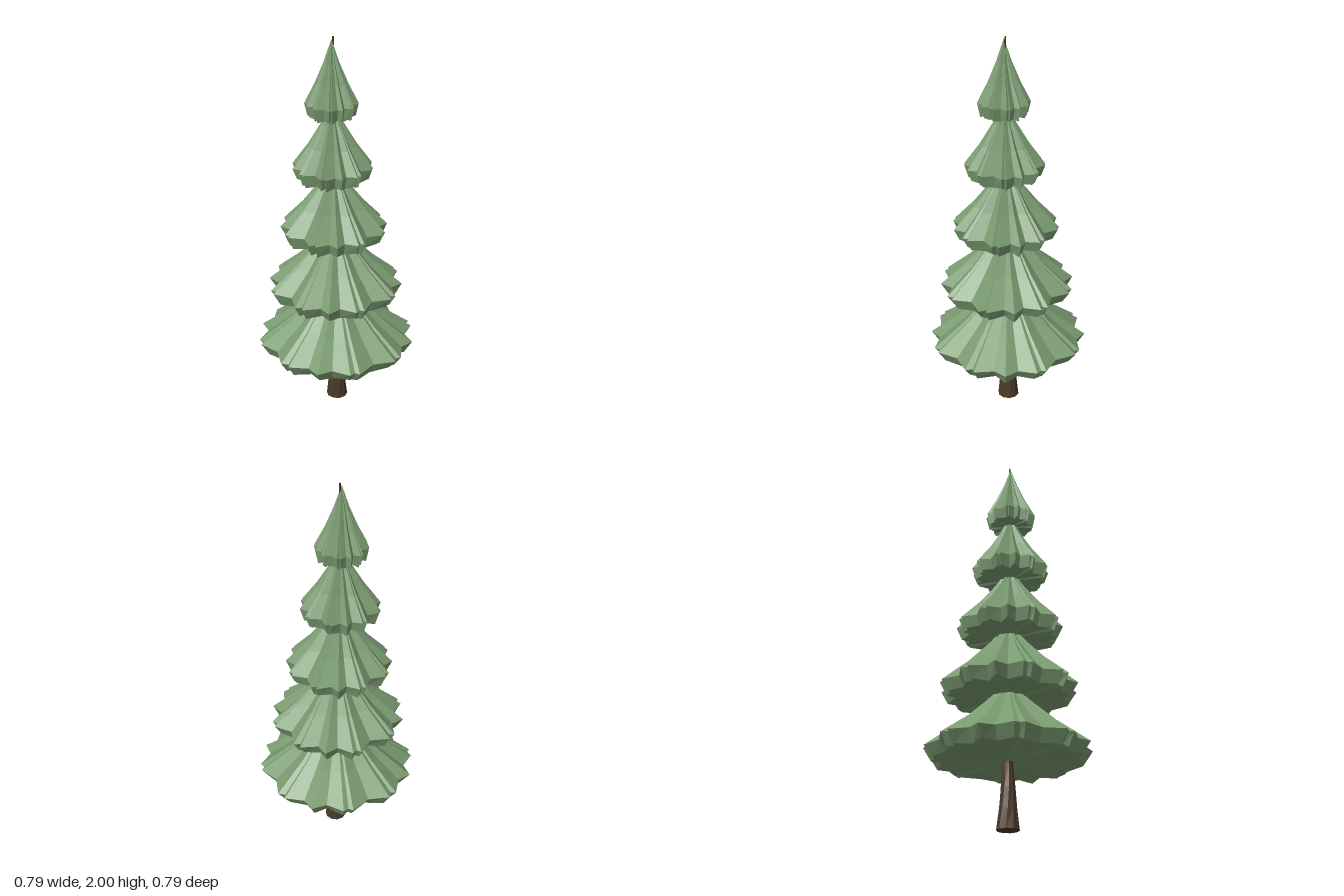
import * as THREE from 'three';

// Skirt outline for one quadrant: [angle in degrees, radius factor]
const PLEATS = [
  [0, 0.875], [15, 1], [19.5, 0.95], [22, 1], [36, 0.9], [45, 1],
  [55, 0.89], [68, 1], [72, 0.96], [75, 1],
];

// Joins closed rings of points, bottom to top, into flat shaded faces
function loft(rings, material, name) {
  const pos = [];
  const tri = (a, b, c) => {
    if (a.distanceTo(b) > 1e-6 && b.distanceTo(c) > 1e-6 && c.distanceTo(a) > 1e-6) {
      for (const p of [a, b, c]) pos.push(p.x, p.y, p.z);
    }
  };
  for (let r = 0; r + 1 < rings.length; r++) {
    const low = rings[r], up = rings[r + 1];
    for (let i = 0; i < low.length; i++) {
      const j = (i + 1) % low.length;
      tri(low[i], low[j], up[j]);
      tri(low[i], up[j], up[i]);
    }
  }
  const geometry = new THREE.BufferGeometry();
  geometry.setAttribute('position', new THREE.Float32BufferAttribute(pos, 3));
  geometry.computeVertexNormals();
  const mesh = new THREE.Mesh(geometry, material);
  mesh.name = name;
  return mesh;
}

// One pleated bough skirt with a drooping hem and flat underside
function makeTier(tier, material, name) {
  const { x, rim, radius, turn, depth, height } = tier;
  // [radius scale, y offset from the rim, hem jag]
  const rows = [
    [0, -0.058, 0], [0.9, -0.06, 0.008], [1, 0, 0],
    [0.61, 0.32 * height, 0], [0.28, 0.65 * height, 0], [0, height, 0],
  ];
  const rings = rows.map(([scale, dy, jag]) => {
    const ring = [];
    for (let q = 0; q < 4; q++) {
      PLEATS.forEach(([deg, f], i) => {
        const a = THREE.MathUtils.degToRad(deg + q * 90 + turn);
        const r = radius * scale * (1 - (1 - f) * depth);
        const y = rim + dy + jag * Math.sin(i * 2.4 + q * 1.7);
        ring.push(new THREE.Vector3(x + r * Math.cos(a), y, -r * Math.sin(a)));
      });
    }
    return ring;
  });
  return loft(rings, material, name);
}

export function createModel() {
  const needles = new THREE.MeshStandardMaterial({ color: 0x799a70, flatShading: true });
  needles.name = 'needle green';
  const bark = new THREE.MeshStandardMaterial({ color: 0x4b3826, flatShading: true });
  bark.name = 'bark brown';

  const tree = new THREE.Group();
  tree.name = 'pineTree';

  // Tapering, twisted trunk running up to the tip: [x, y, radius]
  const sides = 10;
  const spine = [
    [0.005, 0, 0], [0.005, 0, 0.056], [0.003, 0.1, 0.045], [0.004, 0.2, 0.036],
    [0.01, 0.32, 0.027], [0, 0.7, 0.022], [-0.015, 1.3, 0.013],
    [-0.02, 1.9, 0.005], [-0.018, 2, 0.004], [-0.018, 2, 0],
  ];
  const trunkRings = spine.map(([x, y, r]) =>
    Array.from({ length: sides }, (_, i) => {
      const a = (i / sides) * Math.PI * 2 + y * 1.5;
      return new THREE.Vector3(x + r * Math.cos(a), y, -r * Math.sin(a));
    }));
  tree.add(loft(trunkRings, bark, 'trunk'));

  // Five bough tiers, from the widest up to the crown
  const tiers = [
    { x: 0, rim: 0.39, radius: 0.41, turn: 0, depth: 1, height: 0.37 },
    { x: -0.006, rim: 0.71, radius: 0.345, turn: 8, depth: 1.35, height: 0.36 },
    { x: -0.015, rim: 1.035, radius: 0.27, turn: 17, depth: 1.5, height: 0.35 },
    { x: -0.022, rim: 1.36, radius: 0.2, turn: 27, depth: 1.6, height: 0.335 },
    { x: -0.027, rim: 1.68, radius: 0.13, turn: 38, depth: 1.6, height: 0.31 },
  ];
  tiers.forEach((t, i) => tree.add(makeTier(t, needles, `boughTier${i + 1}`)));

  return tree;
}
